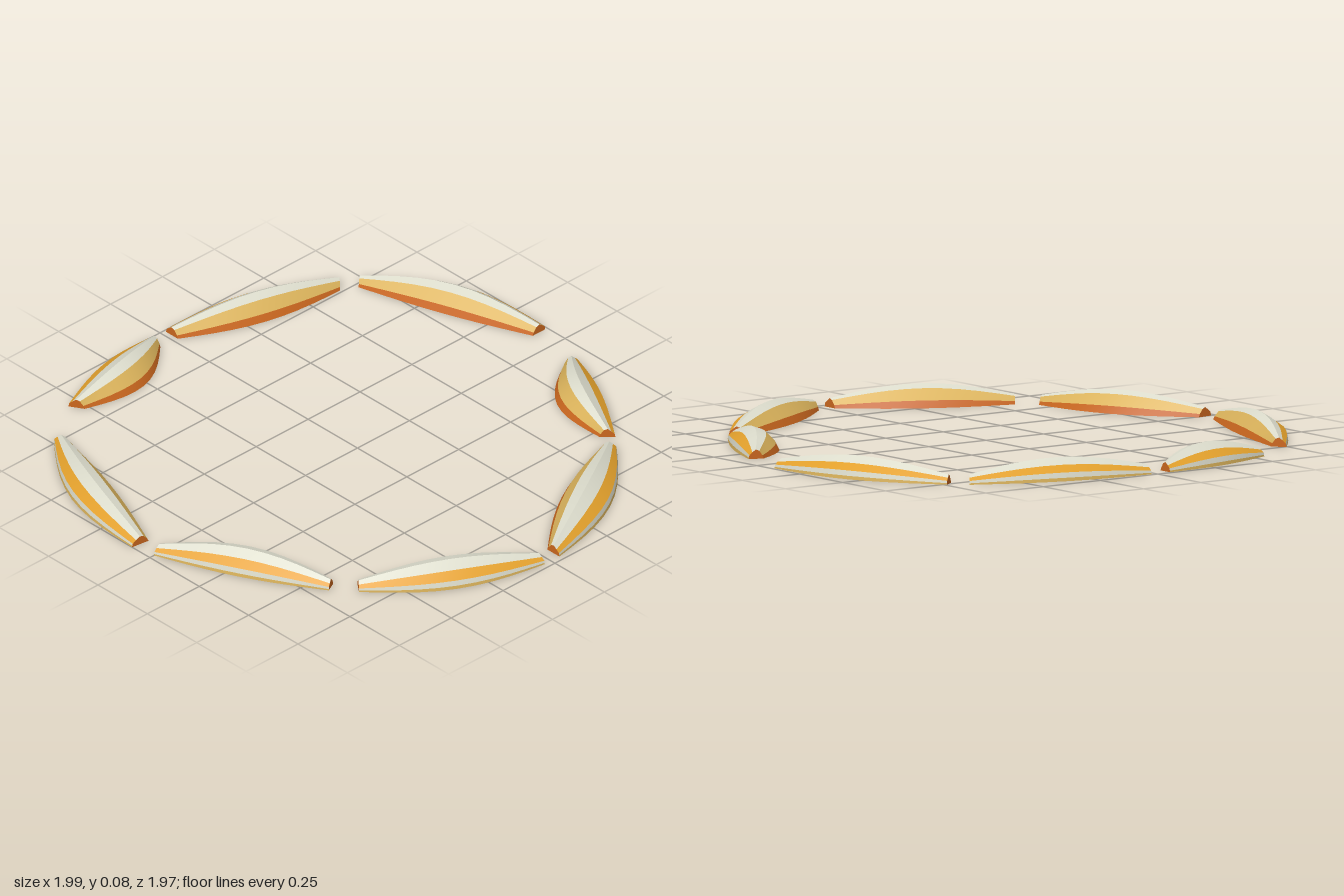
import * as THREE from 'three';

const mat = (name, color) => {
  const m = new THREE.MeshStandardMaterial({ color });
  m.name = name;
  return m;
};

const STEPS = 10;
// Cross-section from outer base over the ridge to inner base:
// [position across the width 0..1, fraction of height, colour of the strip that starts here]
const SECTION = [
  [0, 0, 'tan'],
  [0.01, 0.16, 'white'],
  [0.04, 0.4, 'orange'],
  [0.24, 0.7, 'white'],
  [0.47, 1, 'white'],
  [0.7, 0.84, 'tan'],
  [0.92, 0.34, 'rust'],
  [1, 0, 'rust'], // underside, back to the outer base
];
const STRIP_NAMES = ['outerBase', 'outerPaleBand', 'outerOrangeBand', 'outerCrown',
  'innerCrown', 'innerTanBand', 'innerBase', 'underside'];

// Each segment: outer and inner corner at both ends (x, z), then outer and inner bulge
const SEGMENTS = [
  [[0.02, -0.99], [0.02, -0.93], [0.68, -0.81], [0.64, -0.76], 0.045, 0.05],
  [[0.74, -0.76], [0.70, -0.73], [0.99, -0.09], [0.93, -0.09], 0.08, 0.015],
  [[0.93, 0.14], [0.88, 0.12], [0.70, 0.57], [0.66, 0.53], 0.02, 0.088],
  [[0.65, 0.63], [0.61, 0.59], [0.04, 0.98], [0.04, 0.92], 0.08, 0.045],
  [[-0.03, 0.98], [-0.03, 0.92], [-0.62, 0.66], [-0.59, 0.62], 0.07, 0.045],
  [[-0.69, 0.58], [-0.65, 0.56], [-0.98, 0], [-0.92, -0.01], 0.025, 0.07],
  [[-1, -0.09], [-0.93, -0.08], [-0.74, -0.76], [-0.71, -0.71], 0.08, 0.02],
  [[-0.55, -0.885], [-0.52, -0.835], [-0.06, -0.99], [-0.06, -0.935], 0.03, 0.09],
];

// Point on an edge curve that bows sideways from its chord
function edgePoint(a, b, t, bulge) {
  const p = new THREE.Vector2(...a), q = new THREE.Vector2(...b);
  const dir = q.clone().sub(p).normalize();
  const side = new THREE.Vector2(dir.y, -dir.x); // away from the ring centre
  return p.lerp(q, t).addScaledVector(side, bulge * Math.sin(Math.PI * t));
}

function makeGeometry(points, index) {
  const g = new THREE.BufferGeometry().setFromPoints(points);
  g.setIndex(index);
  g.computeVertexNormals();
  return g;
}

function makeSegment([oA, iA, oB, iB, outBulge, inBulge], mats) {
  const group = new THREE.Group();
  const rows = [];
  for (let i = 0; i <= STEPS; i++) {
    const t = i / STEPS;
    const outer = edgePoint(oA, oB, t, outBulge);
    const inner = edgePoint(iA, iB, t, -inBulge);
    const h = 0.033 + 0.043 * Math.sin(Math.PI * t);
    rows.push(SECTION.map(([u, v]) => {
      const p = outer.clone().lerp(inner, u);
      return new THREE.Vector3(p.x, v * h, p.y);
    }));
  }
  const n = SECTION.length;

  // One lengthwise strip for each face of the section, so edges stay sharp
  SECTION.forEach(([, , colour], j) => {
    const points = [], index = [];
    rows.forEach((row, i) => {
      points.push(row[j], row[(j + 1) % n]);
      if (i < STEPS) {
        const a = i * 2;
        index.push(a, a + 1, a + 2, a + 1, a + 3, a + 2);
      }
    });
    const mesh = new THREE.Mesh(makeGeometry(points, index), mats[colour]);
    mesh.name = STRIP_NAMES[j];
    group.add(mesh);
  });

  // End caps
  [rows[0], rows[STEPS]].forEach((row, end) => {
    const index = [];
    for (let k = 1; k < n - 1; k++) index.push(0, ...(end ? [k, k + 1] : [k + 1, k]));
    const cap = new THREE.Mesh(makeGeometry(row, index), mats.rust);
    cap.name = end ? 'endCap' : 'startCap';
    group.add(cap);
  });
  return group;
}

export function createModel() {
  const mats = {
    white: mat('offWhite', 0xdcdccc),
    tan: mat('tan', 0xdcb45c),
    orange: mat('orange', 0xe2a02c),
    rust: mat('rustOrange', 0xcc681f),
  };
  const model = new THREE.Group();
  model.name = 'segmentRing';
  SEGMENTS.forEach((s, i) => {
    const seg = makeSegment(s, mats);
    seg.name = `ringSegment${i + 1}`;
    model.add(seg);
  });
  return model;
}
